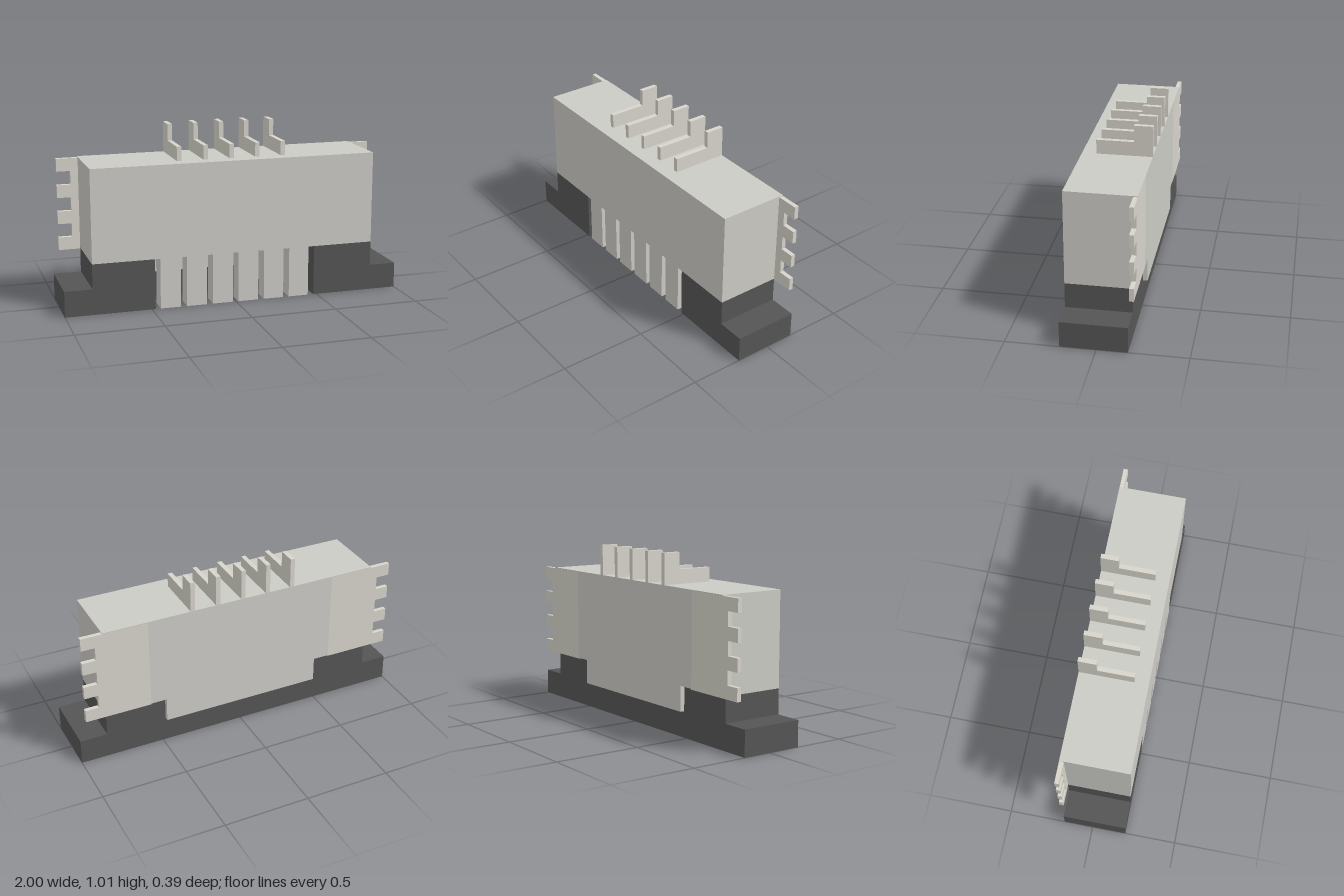
import * as THREE from 'three';

const mat = (color) => new THREE.MeshStandardMaterial({ color, flatShading: true });

// Box given by its extents on each axis
function block(name, [x0, x1], [y0, y1], [z0, z1], material) {
  const mesh = new THREE.Mesh(new THREE.BoxGeometry(x1 - x0, y1 - y0, z1 - z0), material);
  mesh.position.set((x0 + x1) / 2, (y0 + y1) / 2, (z0 + z1) / 2);
  mesh.name = name;
  return mesh;
}

// Outline in x and y, extruded from z0 to z1
function plate(name, points, z0, z1, material) {
  const shape = new THREE.Shape(points.map(([x, y]) => new THREE.Vector2(x, y)));
  const geometry = new THREE.ExtrudeGeometry(shape, { depth: z1 - z0, bevelEnabled: false });
  geometry.translate(0, 0, z0);
  const mesh = new THREE.Mesh(geometry, material);
  mesh.name = name;
  return mesh;
}

const mirrorX = (points) => points.map(([x, y]) => [-x, y]).reverse();

export function createModel() {
  const group = new THREE.Group();
  const housingMat = mat(0xcccbc6);
  const metalMat = mat(0xd6d4ca);
  const baseMat = mat(0x555555);

  const BACK = -0.195, PLATE = -0.17, NOTCH = -0.04, FRONT = 0.2;
  const PITCH = 0.155;

  // Main housing
  group.add(block('housing', [-0.84, 0.84], [0.295, 0.835], [PLATE, FRONT], housingMat));

  // Flush back panel with a lower tab, leaving recesses for the side brackets
  const half = [[0.48, 0.15], [0.48, 0.295], [0.575, 0.295], [0.575, 0.83], [0.84, 0.83], [0.84, 0.835]];
  group.add(plate('backPanel', [...half, ...mirrorX(half)], BACK, PLATE, housingMat));
  group.add(block('lowerTab', [-0.48, 0.48], [0.15, 0.295], [PLATE, NOTCH], housingMat));

  // Base: stepped end blocks joined by a low rear bar
  const end = [[0.48, 0], [1, 0], [1, 0.15], [0.84, 0.15], [0.84, 0.295], [0.48, 0.295]];
  group.add(plate('baseLeft', end, PLATE, FRONT, baseMat));
  group.add(plate('baseRight', mirrorX(end), PLATE, FRONT, baseMat));
  group.add(block('baseBar', [-0.48, 0.48], [0, 0.15], [PLATE, NOTCH], baseMat));

  // Row of blocks standing in the front notch of the base
  for (let i = 0; i < 6; i++) {
    const x = -0.39 + i * PITCH;
    group.add(block('frontBlock', [x - 0.06, x + 0.06], [0, 0.295], [0.1, FRONT], housingMat));
  }

  // Side brackets with four teeth each
  const comb = [[0.575, 0.29]];
  for (let i = 0; i < 4; i++) {
    const y = 0.29 + i * 0.155;
    if (i > 0) comb.push([0.885, y]);
    comb.push([0.965, y], [0.965, y + 0.075]);
    if (i < 3) comb.push([0.885, y + 0.075]);
  }
  comb.push([0.575, 0.83]);
  group.add(plate('bracketLeft', comb, BACK, PLATE, metalMat));
  group.add(plate('bracketRight', mirrorX(comb), BACK, PLATE, metalMat));

  // L-shaped contact pins on top; the outline's first axis runs towards the back
  const pin = [[-0.12, 0.835], [0.195, 0.835], [0.195, 1.013], [0.09, 1.013], [0.09, 0.917], [-0.12, 0.917]];
  for (let i = -2; i <= 2; i++) {
    const mesh = plate('contactPin', pin, -0.0135, 0.0135, metalMat);
    mesh.rotation.y = Math.PI / 2;
    mesh.position.x = i * PITCH - 0.003;
    group.add(mesh);
  }

  return group;
}
